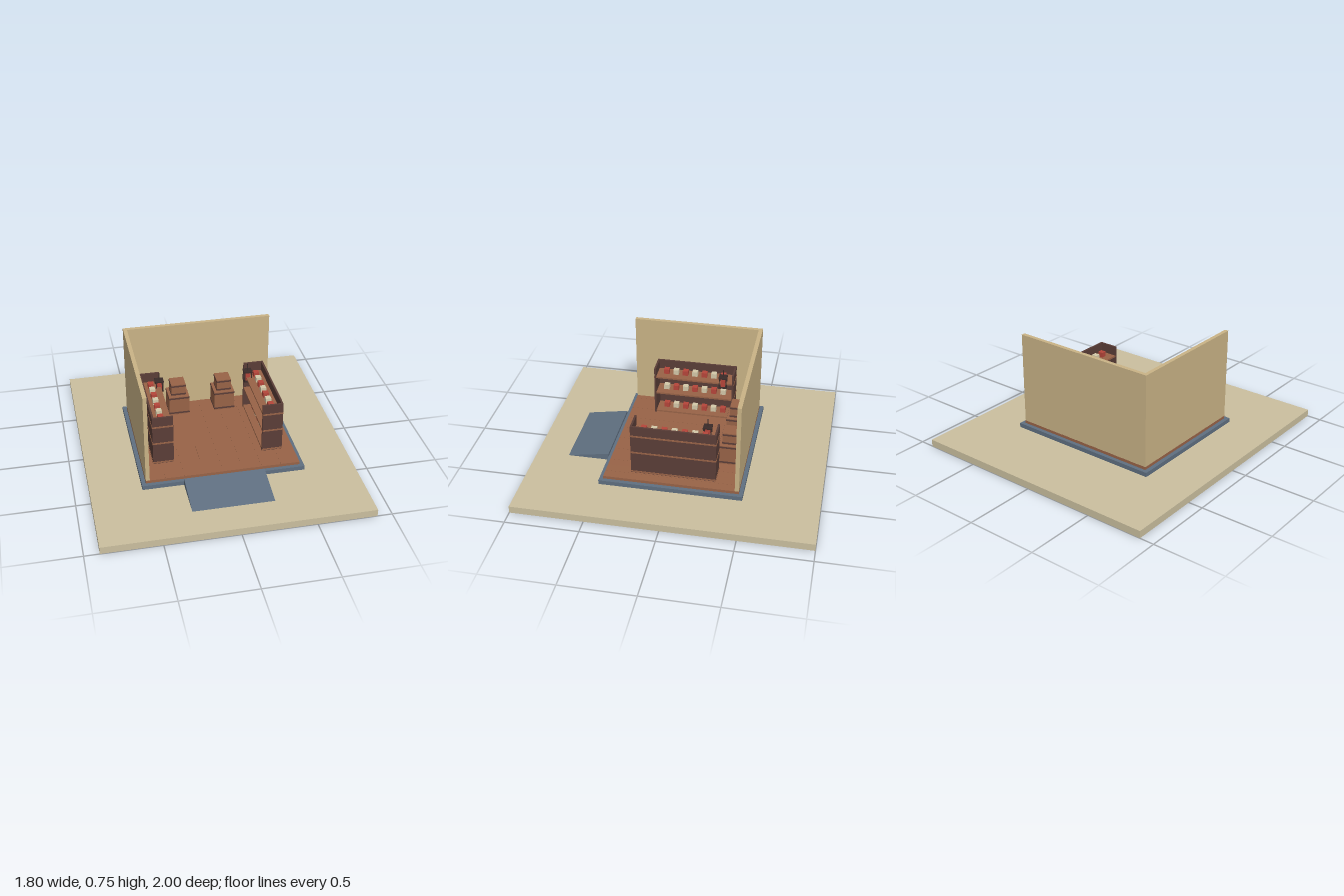
import * as THREE from 'three';

const mat = (name, color) => {
  const m = new THREE.MeshStandardMaterial({ color });
  m.name = name;
  return m;
};

export function createModel() {
  const sand = mat('sand', 0xcabf9f);
  const plaster = mat('plaster', 0xc9b386);
  const slate = mat('slate', 0x5f6f80);
  const wood = mat('wood', 0x986347);
  const darkWood = mat('dark wood', 0x5a3d37);
  const iron = mat('iron', 0x3a2b29);
  const red = mat('red', 0xb5453a);
  const cream = mat('cream', 0xd3c8a8);

  const model = new THREE.Group();
  model.name = 'shop';

  // Box given by its low and high limits on each axis
  const box = (parent, name, material, x0, x1, y0, y1, z0, z1) => {
    const mesh = new THREE.Mesh(new THREE.BoxGeometry(x1 - x0, y1 - y0, z1 - z0), material);
    mesh.position.set((x0 + x1) / 2, (y0 + y1) / 2, (z0 + z1) / 2);
    mesh.name = name;
    parent.add(mesh);
    return mesh;
  };
  const group = (name) => {
    const g = new THREE.Group();
    g.name = name;
    model.add(g);
    return g;
  };

  // Ground and foundation
  box(model, 'ground', sand, -0.9, 0.9, 0, 0.05, -1, 1);
  box(model, 'foundation', slate, -0.555, 0.555, 0.05, 0.08, -0.487, 0.487);

  // Entrance ramp: wedge profile (z, y) swept across x
  const profile = new THREE.Shape([
    new THREE.Vector2(0.487, 0.05), new THREE.Vector2(0.775, 0.05), new THREE.Vector2(0.487, 0.1),
  ]);
  const rampGeo = new THREE.ExtrudeGeometry(profile, { depth: 0.55, bevelEnabled: false });
  rampGeo.rotateY(-Math.PI / 2);
  rampGeo.translate(0.275, 0, 0);
  const ramp = new THREE.Mesh(rampGeo, slate);
  ramp.name = 'ramp';
  model.add(ramp);

  // Plank floor
  const floor = group('floor');
  const plankWidth = 1.054 / 16;
  for (let i = 0; i < 16; i++) {
    const x = -0.527 + i * plankWidth;
    box(floor, 'plank', wood, x, x + plankWidth, 0.08, i % 2 ? 0.1 : 0.101, -0.46, 0.46);
  }

  // Walls
  box(model, 'backWall', plaster, -0.5, 0.525, 0.1, 0.75, -0.46, -0.432);
  box(model, 'sideWall', plaster, -0.527, -0.5, 0.1, 0.75, -0.46, 0.46);

  for (const s of [-1, 1]) {
    const side = s < 0 ? 'right' : 'left';
    // Mirrored box: distances measured outward from the centre line
    const mbox = (parent, name, material, a, b, ...rest) =>
      box(parent, name, material, Math.min(s * a, s * b), Math.max(s * a, s * b), ...rest);

    // Shelf unit
    const shelf = group(side + 'ShelfUnit');
    mbox(shelf, 'backPanel', darkWood, 0.435, 0.448, 0.1, 0.468, -0.292, 0.285);
    mbox(shelf, 'rearEndPanel', darkWood, 0.306, 0.448, 0.1, 0.468, -0.292, -0.279);
    mbox(shelf, 'frontEndPanel', darkWood, 0.306, 0.448, 0.1, 0.468, 0.272, 0.285);
    [0.11, 0.264, 0.394].forEach((y, row) => {
      mbox(shelf, 'board', wood, 0.308, 0.45, y - 0.006, y + 0.006, -0.294, 0.287);
      // Goods in alternating colours
      for (let i = 0; i < 7; i++) {
        const z = -0.208 + i * 0.069;
        const material = (i + row) % 2 ? cream : red;
        mbox(shelf, 'goods', material, 0.36, 0.398, y + 0.006, y + 0.042, z - 0.019, z + 0.019);
      }
    });

    // Hanging lantern
    const lantern = group(side + 'Lantern');
    const cx = 0.318, cz = -0.214;
    const square = (name, material, dx, dz, r, y0, y1) =>
      mbox(lantern, name, material, cx + dx - r, cx + dx + r, y0, y1, cz + dz - r, cz + dz + r);
    square('base', iron, 0, 0, 0.028, 0.366, 0.374);
    square('cap', iron, 0, 0, 0.03, 0.442, 0.45);
    square('candle', red, 0, 0, 0.016, 0.374, 0.442);
    square('hanger', iron, 0, 0, 0.003, 0.45, 0.505);
    for (const dx of [-0.024, 0.024])
      for (const dz of [-0.024, 0.024]) square('post', iron, dx, dz, 0.003, 0.374, 0.442);

    // Stacked crates with dark bands
    const crates = group(side + 'Crates');
    const crate = (name, r, y0, y1, bands) => {
      const put = (n, m, h, a, b) => mbox(crates, n, m, 0.166 - h, 0.166 + h, a, b, -0.35 - h, -0.35 + h);
      put(name, wood, r, y0, y1);
      for (const y of bands) put('band', darkWood, r + 0.002, y - 0.006, y + 0.006);
    };
    crate('lowerCrate', 0.073, 0.1, 0.247, [0.115, 0.235]);
    crate('upperCrate', 0.052, 0.247, 0.337, [0.259, 0.324]);
  }

  return model;
}
